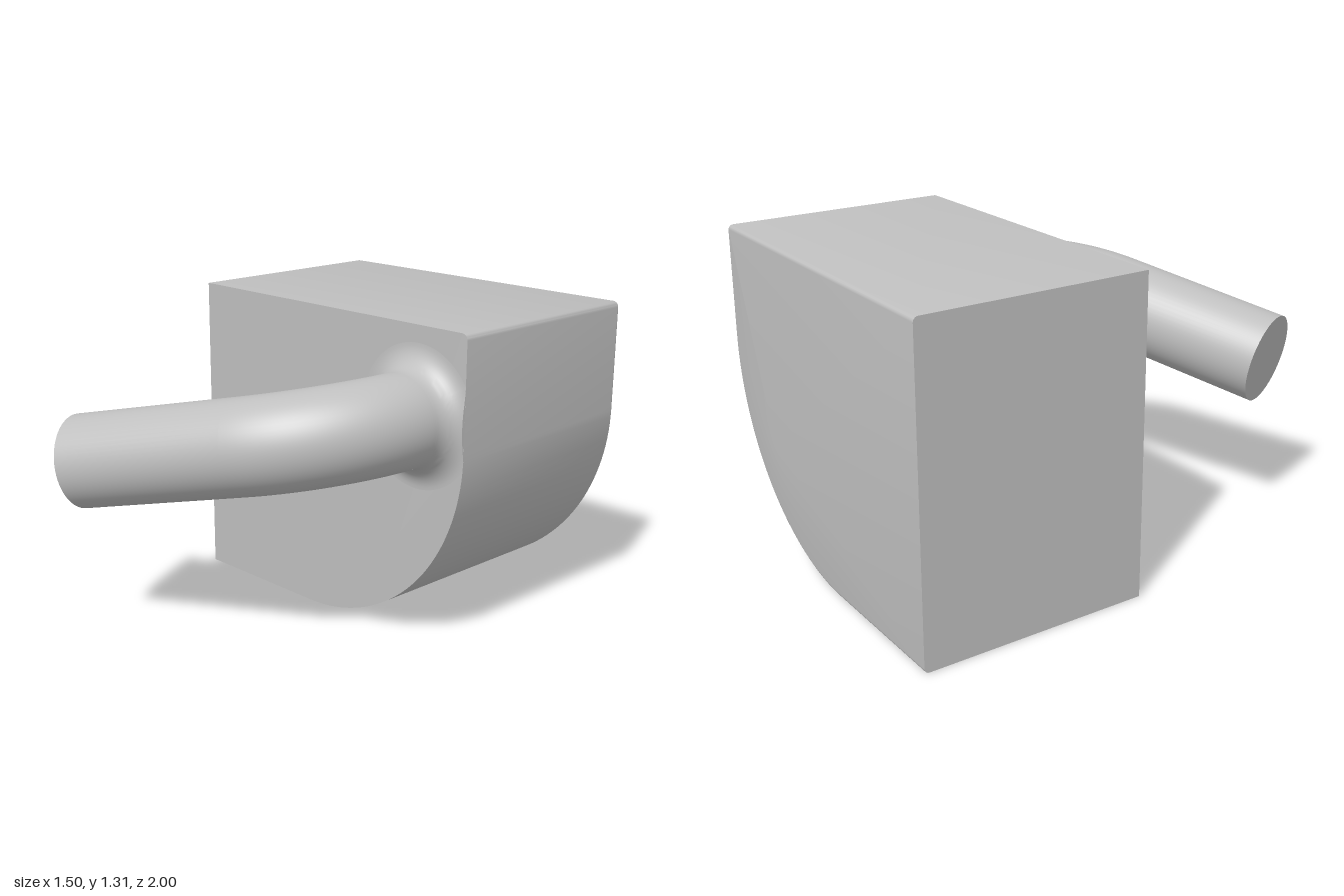
import * as THREE from 'three';
import { toCreasedNormals } from 'three/addons/utils/BufferGeometryUtils.js';

const V = (x, y, z) => new THREE.Vector3(x, y, z);

// Skin through equal rings of points (counter-clockwise about the travel direction), with optional end caps
function loft(rings, capStart, capEnd) {
  const n = rings[0].length, pts = rings.flat(), index = [];
  for (let i = 0; i < rings.length - 1; i++) {
    for (let j = 0; j < n; j++) {
      const k = (j + 1) % n, a = i * n + j, b = i * n + k;
      index.push(a, b, a + n, b, b + n, a + n);
    }
  }
  const cap = (ring, offset, flip) => {
    const c = pts.length;
    pts.push(ring.reduce((s, p) => s.add(p), V(0, 0, 0)).divideScalar(n));
    for (let j = 0; j < n; j++) {
      const a = offset + j, b = offset + (j + 1) % n;
      index.push(c, flip ? b : a, flip ? a : b);
    }
  };
  if (capStart) cap(rings[0], 0, true);
  if (capEnd) cap(rings[rings.length - 1], (rings.length - 1) * n, false);
  const g = new THREE.BufferGeometry().setFromPoints(pts);
  g.setIndex(index);
  return toCreasedNormals(g, 0.6);
}

// Block measurements
const SIDE = 0.75, TOP = 1.31, FRONT = -0.04, BACK = -1, ROUND = 0.02;
const ARC = { x: -0.1, y: 0.85, r: 0.85 };

// Block outline, inset on every side but the left one
function outline(inset, z) {
  const p = [V(-SIDE, inset, z)];
  for (let i = 0; i <= 40; i++) {
    const a = -Math.PI / 2 + (i / 40) * Math.PI / 2, r = ARC.r - inset;
    p.push(V(ARC.x + r * Math.cos(a), ARC.y + r * Math.sin(a), z));
  }
  for (let i = 0; i <= 5; i++) {
    const a = (i / 5) * Math.PI / 2, c = 0.025, r = c - inset;
    p.push(V(SIDE - c + r * Math.cos(a), TOP - c + r * Math.sin(a), z));
  }
  p.push(V(-SIDE, TOP - inset, z));
  return p;
}

function block() {
  const rings = [];
  for (let i = 0; i <= 5; i++) {
    const a = (i / 5) * Math.PI / 2;
    rings.push(outline(ROUND * (1 - Math.sin(a)), BACK + ROUND * (1 - Math.cos(a))));
  }
  rings.push(outline(0, FRONT));
  return loft(rings, true, true);
}

// Pipe measurements
const PX = 0.51, PY = 0.95, R = 0.19, BEND = 0.57, BEND_Z = 0.018, SEG = 64;
const TURN = THREE.MathUtils.degToRad(67.5);
const U = V(-0.977, -0.214, 0).normalize(), Z = V(0, 0, 1), W = Z.clone().cross(U);

function pipe() {
  const ring = (c, phi) => {
    const N = U.clone().multiplyScalar(Math.cos(phi)).addScaledVector(Z, -Math.sin(phi));
    return Array.from({ length: SEG }, (_, j) => {
      const t = (j / SEG) * Math.PI * 2;
      return c.clone().addScaledVector(N, R * Math.cos(t)).addScaledVector(W, R * Math.sin(t));
    });
  };
  const rings = [ring(V(PX, PY, FRONT), 0)];
  let c;
  for (let i = 0; i <= 24; i++) {
    const phi = (i / 24) * TURN;
    c = V(PX, PY, BEND_Z + BEND * Math.sin(phi)).addScaledVector(U, BEND * (1 - Math.cos(phi)));
    rings.push(ring(c, phi));
  }
  // straight run to the open end
  const reach = (1.029 - BEND * (1 - Math.cos(TURN))) / Math.sin(TURN);
  c = c.clone().addScaledVector(U, reach * Math.sin(TURN)).addScaledVector(Z, reach * Math.cos(TURN));
  rings.push(ring(c, TURN));
  return loft(rings, false, true);
}

// Flared foot of the pipe, trimmed where it would overhang the block
function flare() {
  const F = 0.1, steps = 12, n = 96;
  const inside = (x, y) => x <= SIDE && (y >= ARC.y || Math.hypot(x - ARC.x, y - ARC.y) <= ARC.r);
  const limits = Array.from({ length: n }, (_, j) => {
    const t = (j / n) * Math.PI * 2;
    let r = R + F;
    while (r > R && !inside(PX + r * Math.cos(t), PY + r * Math.sin(t))) r -= 0.0005;
    return r;
  });
  const rings = [];
  for (let i = -1; i <= steps; i++) {
    rings.push(limits.map((limit, j) => {
      const t = (j / n) * Math.PI * 2;
      const a0 = Math.asin((R + F - limit) / F);
      const a = THREE.MathUtils.lerp(a0, Math.PI / 2, Math.max(i, 0) / steps);
      const r = R + F - F * Math.sin(a);
      const z = i < 0 ? FRONT : FRONT + F - F * Math.cos(a);
      return V(PX + r * Math.cos(t), PY + r * Math.sin(t), z);
    }));
  }
  return loft(rings, false, false);
}

export function createModel() {
  const group = new THREE.Group();
  const grey = new THREE.MeshStandardMaterial({ color: 0xbfbfbf });
  grey.name = 'grey';
  const parts = { block: block(), pipe: pipe(), pipeFlare: flare() };
  for (const [name, geometry] of Object.entries(parts)) {
    const mesh = new THREE.Mesh(geometry, grey);
    mesh.name = name;
    group.add(mesh);
  }
  return group;
}
